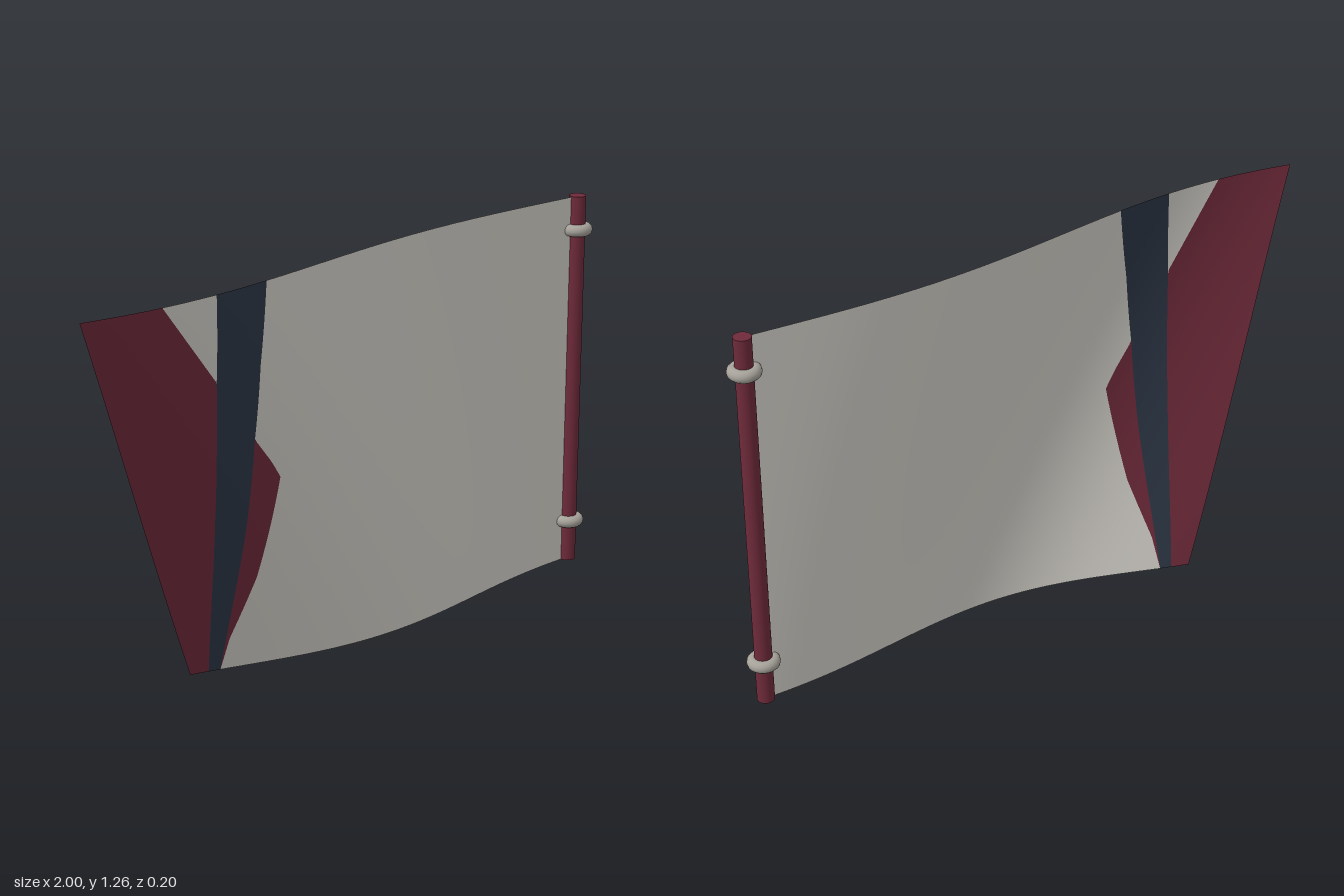
import * as THREE from 'three';

const POLE_X = 0.95;
const lerp = THREE.MathUtils.lerp;
const DOUBLE = THREE.DoubleSide;

// Piecewise linear lookup of x at a height, from [height, x] pairs
function lookup(points, y) {
  for (let i = 1; i < points.length; i++) {
    const [y0, x0] = points[i - 1], [y1, x1] = points[i];
    if (y <= y1) return lerp(x0, x1, Math.max(0, (y - y0) / (y1 - y0)));
  }
  return points[points.length - 1][1];
}

// Colour borders on the cloth
const redBorder = [[0, -0.445], [0.12, -0.43], [0.32, -0.375], [0.6, -0.332], [0.64, -0.326],
  [0.695, -0.36], [0.775, -0.42], [0.98, -0.56], [1.242, -0.75]];
const navyLeft = [[0, -0.478], [0.28, -0.505], [0.55, -0.53], [0.76, -0.547], [0.98, -0.561], [1.242, -0.562]];
const navyRight = [[0, -0.444], [0.22, -0.438], [0.49, -0.428], [0.775, -0.422], [1.0, -0.405], [1.242, -0.37]];

// Cloth surface: u runs from pole to free edge, v from bottom to top
const clothLength = v => lerp(1.485, 1.95, v);
function clothPoint(u, v) {
  const wave = Math.sin(4.5 * u - lerp(0.413, 1.845, v));
  return new THREE.Vector3(
    POLE_X - u * clothLength(v),
    0.03 + 1.23 * v - 0.025 * u,
    lerp(0.13, 0.12, v) * u * wave);
}
function clothNormal(u, v) {
  const e = 0.001;
  const du = clothPoint(u - e, v).sub(clothPoint(u + e, v));
  const dv = clothPoint(u, v + e).sub(clothPoint(u, v - e));
  return du.cross(dv).normalize();
}

// A vertical strip of cloth between two borders given as x for each v
function clothStrip(name, material, left, right, columns) {
  const rows = 96, pos = [], nor = [], index = [];
  for (let j = 0; j <= rows; j++) {
    const v = j / rows;
    for (let i = 0; i <= columns; i++) {
      const x = lerp(left(v), right(v), i / columns);
      const u = (POLE_X - x) / clothLength(v);
      pos.push(...clothPoint(u, v).toArray());
      nor.push(...clothNormal(u, v).toArray());
    }
  }
  const width = j => right(j / rows) - left(j / rows);
  for (let j = 0; j < rows; j++) {
    if (width(j) + width(j + 1) < 1e-5) continue;
    for (let i = 0; i < columns; i++) {
      const a = j * (columns + 1) + i, b = a + columns + 1;
      index.push(a, a + 1, b + 1, a, b + 1, b);
    }
  }
  const g = new THREE.BufferGeometry();
  g.setAttribute('position', new THREE.Float32BufferAttribute(pos, 3));
  g.setAttribute('normal', new THREE.Float32BufferAttribute(nor, 3));
  g.setIndex(index);
  const mesh = new THREE.Mesh(g, material);
  mesh.name = name;
  return mesh;
}

export function createModel() {
  const mat = (name, color, side = THREE.FrontSide) => {
    const m = new THREE.MeshStandardMaterial({ color, side });
    m.name = name;
    return m;
  };
  const cream = mat('pale grey cloth', 0xd2cfc8, DOUBLE);
  const red = mat('dark red', 0x6e2a3a, DOUBLE);
  const navy = mat('navy cloth', 0x2c3645, DOUBLE);
  const metal = mat('grey metal', 0xa6a29a);

  const model = new THREE.Group();
  model.name = 'flag';

  // Cloth, split along its colour borders
  const cloth = new THREE.Group();
  cloth.name = 'cloth';
  const height = v => 0.011 + 1.23 * v;
  const free = v => POLE_X - clothLength(v);
  const redX = v => lookup(redBorder, height(v));
  const nL = v => lookup(navyLeft, height(v));
  const nR = v => lookup(navyRight, height(v));
  const a = v => Math.min(redX(v), nL(v));
  const b = v => Math.max(redX(v), nR(v));
  cloth.add(
    clothStrip('redEdge', red, free, a, 12),
    clothStrip('paleCorner', cream, a, nL, 6),
    clothStrip('navyStripe', navy, nL, nR, 6),
    clothStrip('redPoint', red, nR, b, 4),
    clothStrip('paleField', cream, b, () => POLE_X, 40));
  model.add(cloth);

  // Pole
  const pole = new THREE.Mesh(new THREE.CylinderGeometry(0.027, 0.027, 1.232, 20), red);
  pole.name = 'pole';
  pole.position.set(POLE_X, 0.646, 0);
  model.add(pole);

  // Rings around the pole
  for (const [name, y] of [['upperRing', 1.153], ['lowerRing', 0.167]]) {
    const ring = new THREE.Mesh(new THREE.TorusGeometry(0.031, 0.0195, 12, 28), metal);
    ring.name = name;
    ring.rotation.x = Math.PI / 2;
    ring.position.set(POLE_X, y, 0);
    model.add(ring);
  }
  return model;
}
